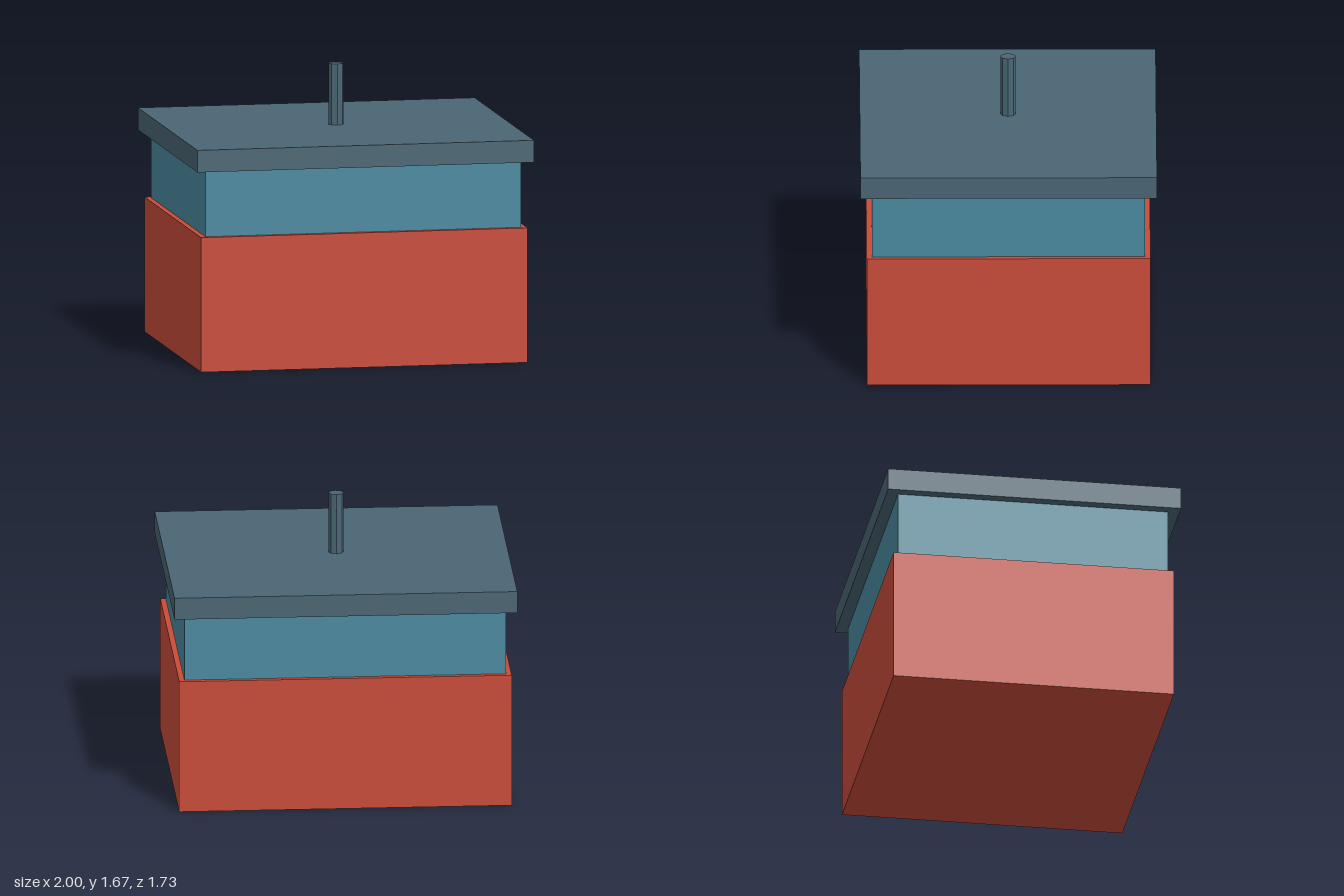
import * as THREE from 'three';

export function createModel() {
  const model = new THREE.Group();
  model.name = 'rooftopBlock';

  const material = (name, color) => {
    const m = new THREE.MeshStandardMaterial({ color });
    m.name = name;
    return m;
  };
  const red = material('brickRed', 0xc94c39);
  const blue = material('tealBlue', 0x4a8a9f);
  const slate = material('slateGrey', 0x4a6674);

  // Adds a centred box spanning the heights y0 to y1
  const addBlock = (name, width, depth, y0, y1, mat) => {
    const mesh = new THREE.Mesh(new THREE.BoxGeometry(width, y1 - y0, depth), mat);
    mesh.name = name;
    mesh.position.y = (y0 + y1) / 2;
    model.add(mesh);
  };

  // Stacked body
  addBlock('base', 1.94, 1.652, 0, 0.792, red);
  addBlock('upperBand', 1.876, 1.59, 0.792, 1.182, blue);
  addBlock('roofSlab', 2, 1.726, 1.182, 1.312, slate);

  // Eight-sided post on the roof, with crisp facets
  const postGeometry = new THREE.CylinderGeometry(0.045, 0.045, 0.36, 8).toNonIndexed();
  postGeometry.computeVertexNormals();
  const post = new THREE.Mesh(postGeometry, slate);
  post.name = 'roofPost';
  post.position.y = 1.492;
  model.add(post);

  return model;
}
